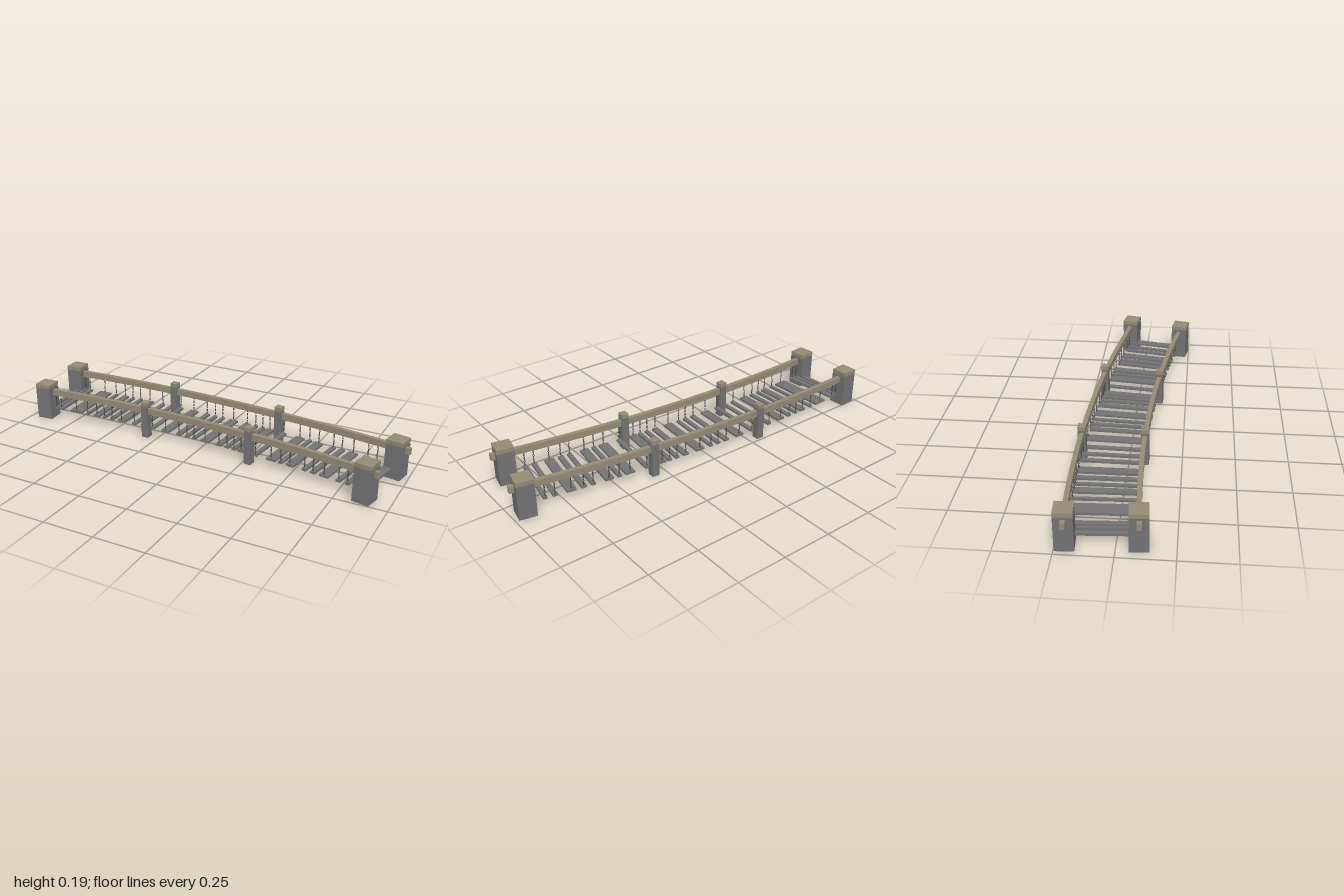
import * as THREE from 'three';

const wood = new THREE.MeshStandardMaterial({ name: 'weatheredTan', color: 0x968c76 });
const stone = new THREE.MeshStandardMaterial({ name: 'stoneGrey', color: 0x747474 });
const iron = new THREE.MeshStandardMaterial({ name: 'darkIron', color: 0x454545 });

// Plan curves of the two rails, z = a + b x + c x^2
const curve = (a, b, c, from, to, posts) => ({
  z: (x) => a + b * x + c * x * x,
  slope: (x) => b + 2 * c * x,
  from, to, posts,
});
const back = curve(-0.206, 0.0629, 0.0655, -1, 0.998, [-0.937, -0.31, 0.31, 0.935]);
const front = curve(0.0874, 0.061, 0.074, -0.983, 0.942, [-0.92, -0.312, 0.28, 0.88]);

function add(parent, name, geometry, material, x = 0, y = 0, z = 0) {
  const mesh = new THREE.Mesh(geometry, material);
  mesh.name = name;
  mesh.position.set(x, y, z);
  parent.add(mesh);
  return mesh;
}

// Curved handrail: plan outline extruded downwards
function makeRail(c) {
  const half = 0.011, n = 28, near = [], far = [];
  for (let i = 0; i <= n; i++) {
    const x = c.from + (c.to - c.from) * i / n;
    const s = c.slope(x), l = Math.hypot(1, s);
    near.push(new THREE.Vector2(x + half * s / l, c.z(x) - half / l));
    far.unshift(new THREE.Vector2(x - half * s / l, c.z(x) + half / l));
  }
  const geo = new THREE.ExtrudeGeometry(new THREE.Shape([...near, ...far]), { depth: 0.032, bevelEnabled: false });
  return geo.rotateX(Math.PI / 2);
}

// Post with a narrow neck and a square cap
function makePost(name, width) {
  const g = new THREE.Group();
  g.name = name;
  add(g, 'postBody', new THREE.BoxGeometry(width, 0.164, width), stone, 0, 0.082, 0);
  add(g, 'postNeck', new THREE.BoxGeometry(width * 0.95, 0.006, width * 0.95), stone, 0, 0.167, 0);
  add(g, 'postCap', new THREE.BoxGeometry(width, 0.02, width), wood, 0, 0.18, 0);
  return g;
}

// Hanging chain of alternating links
const linkGeo = new THREE.TorusGeometry(0.0034, 0.001, 4, 8).scale(1, 1.75, 1);
const LINKS = 8;
function makeChain(x, z, turn) {
  const g = new THREE.Group();
  g.name = 'chain';
  g.position.set(x, 0, z);
  g.rotation.y = turn;
  for (let i = 0; i < LINKS; i++) {
    const link = add(g, 'chainLink', linkGeo, iron, 0, 0.0595 + i * 0.0096, 0);
    link.rotation.y = i % 2 ? Math.PI / 2 : 0;
  }
  return g;
}

// Deck boards: centre position and width
const planks = [
  [-0.912, 0.022], [-0.88, 0.016], [-0.85, 0.026], [-0.754, 0.07], [-0.682, 0.016], [-0.623, 0.036],
  [-0.575, 0.016], [-0.527, 0.022], [-0.468, 0.043], [-0.388, 0.022], [-0.335, 0.02], [-0.276, 0.022],
  [-0.196, 0.046], [-0.116, 0.026], [-0.067, 0.02], [-0.024, 0.018], [0.04, 0.046], [0.12, 0.03],
  [0.168, 0.02], [0.208, 0.02], [0.248, 0.04], [0.328, 0.022], [0.415, 0.048], [0.468, 0.02],
  [0.518, 0.042], [0.595, 0.022], [0.64, 0.026], [0.698, 0.046], [0.772, 0.022], [0.817, 0.02], [0.886, 0.044],
];

export function createModel() {
  const bridge = new THREE.Group();
  bridge.name = 'footbridge';

  // Handrails and posts on both sides
  for (const [side, c] of [['back', back], ['front', front]]) {
    add(bridge, side + 'Rail', makeRail(c), wood, 0, 0.159, 0);
    c.posts.forEach((x, i) => {
      const end = i === 0 || i === 3;
      const post = makePost(side + (end ? 'EndPost' : 'MiddlePost'), end ? 0.083 : 0.037);
      post.position.set(x, 0, c.z(x));
      post.rotation.y = -Math.atan(c.slope(x));
      bridge.add(post);
    });
  }

  // Boards across the deck, hung by a chain at each end
  for (const [mid, width] of planks) {
    const xb = (mid + 0.009) / 0.98, xf = -0.018 + 0.96 * xb;
    const zb = back.z(xb), zf = front.z(xf);
    const dx = xf - xb, dz = zf - zb;
    const turn = Math.atan2(dx, dz);
    const board = add(bridge, 'deckPlank', new THREE.BoxGeometry(width, 0.011, Math.hypot(dx, dz)),
      stone, (xb + xf) / 2, 0.0495, (zb + zf) / 2);
    board.rotation.y = turn;
    for (const t of [0.02, 0.98]) bridge.add(makeChain(xb + dx * t, zb + dz * t, turn));
  }
  return bridge;
}
